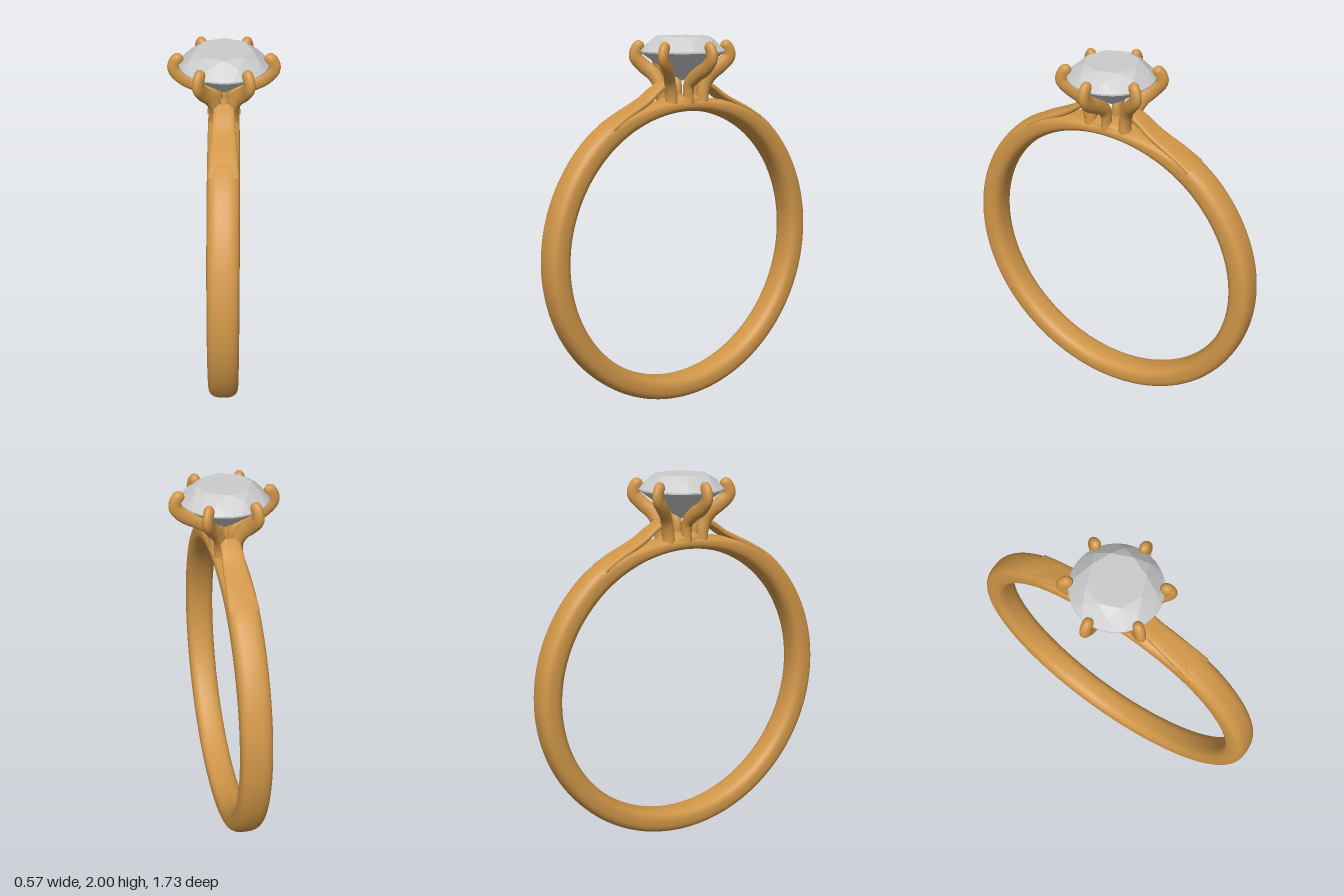
import * as THREE from 'three';
import { ConvexGeometry } from 'three/addons/geometries/ConvexGeometry.js';

const V = (x, y, z) => new THREE.Vector3(x, y, z);
const gold = new THREE.MeshStandardMaterial({ color: 0xd09648 });
const stone = new THREE.MeshStandardMaterial({ color: 0xcccccc, flatShading: true });

// Skins superelliptic rings; each ring has a centre c and half-axes u, v (u x v points along the path).
function loft(rings, power, closed = false, sides = 32) {
  const pos = [], index = [];
  const bend = (s) => Math.sign(s) * Math.abs(s) ** (2 / power);
  for (const { c, u, v } of rings) {
    for (let j = 0; j < sides; j++) {
      const a = (j / sides) * Math.PI * 2;
      const p = c.clone().addScaledVector(u, bend(Math.cos(a))).addScaledVector(v, bend(Math.sin(a)));
      pos.push(p.x, p.y, p.z);
    }
  }
  const n = rings.length;
  for (let i = 0; i < (closed ? n : n - 1); i++) {
    for (let j = 0; j < sides; j++) {
      const k = (j + 1) % sides, m = (i + 1) % n;
      const a = i * sides + j, b = i * sides + k, c = m * sides + j, d = m * sides + k;
      index.push(a, b, c, b, d, c);
    }
  }
  const g = new THREE.BufferGeometry();
  g.setAttribute('position', new THREE.Float32BufferAttribute(pos, 3));
  g.setIndex(index);
  g.computeVertexNormals();
  return g;
}

// Rings along a curve; side is the sideways direction, size(t) gives [half width, half thickness].
function sweep(points, side, size, power, steps = 56) {
  const curve = new THREE.CatmullRomCurve3(points);
  const rings = [];
  for (let i = 0; i <= steps; i++) {
    const t = i / steps, [w, h] = size(t);
    const v = curve.getTangentAt(t).cross(side).normalize();
    rings.push({ c: curve.getPointAt(t), u: side.clone().multiplyScalar(w), v: v.multiplyScalar(h) });
  }
  return loft(rings, power);
}

// Band in the yz plane, thinner under the setting
function bandGeometry() {
  const rings = [], n = 160, inner = 0.738;
  for (let i = 0; i < n; i++) {
    const a = (i / n) * Math.PI * 2;
    const fromTop = Math.min(a, Math.PI * 2 - a);
    const outer = 0.808 + 0.057 * THREE.MathUtils.smoothstep(fromTop, 0.05, 0.75);
    const dir = V(0, Math.cos(a), Math.sin(a));
    rings.push({
      c: dir.clone().multiplyScalar((inner + outer) / 2).add(V(0, 0.867, 0)),
      u: V(-0.08, 0, 0),
      v: dir.multiplyScalar(-(outer - inner) / 2),
    });
  }
  return loft(rings, 2.7, true, 40);
}

// Brilliant-cut stone: octagonal table, crown corners, round girdle, point below
function stoneGeometry() {
  const pts = [V(0, 1.765, 0)];
  const circle = (n, r, y, turn = 0) => {
    for (let i = 0; i < n; i++) {
      const a = ((i + turn) / n) * Math.PI * 2;
      pts.push(V(r * Math.sin(a), y, r * Math.cos(a)));
    }
  };
  circle(8, 0.14, 2.0);
  circle(8, 0.183, 1.971, 0.5);
  circle(32, 0.225, 1.925);
  circle(32, 0.225, 1.917);
  circle(8, 0.07, 1.806, 0.5);
  return new ConvexGeometry(pts);
}

export function createModel() {
  const ring = new THREE.Group();
  ring.name = 'solitaireRing';
  const add = (name, geometry, material = gold) => {
    const mesh = new THREE.Mesh(geometry, material);
    mesh.name = name;
    ring.add(mesh);
    return mesh;
  };

  add('band', bandGeometry());
  add('stone', stoneGeometry(), stone);

  // Six claws: thicker at the foot, rounded at the tip
  const clawSize = (foot) => (t) => {
    const round = t > 0.92 ? Math.sqrt(Math.max(1 - ((t - 0.92) / 0.08) ** 2, 0.0004)) : 1;
    const w = THREE.MathUtils.lerp(foot, 0.026, THREE.MathUtils.smoothstep(t, 0, 0.6));
    const h = 0.03 + 0.008 * Math.sin(Math.PI * t);
    return [w * round, h * round];
  };
  for (const s of [1, -1]) {
    const sideClaw = [
      [0.055, 1.645], [0.05, 1.7], [0.062, 1.755], [0.125, 1.803],
      [0.205, 1.845], [0.248, 1.895], [0.238, 1.94], [0.205, 1.966],
    ].map(([x, y]) => V(s * x, y, 0));
    add('sideClaw', sweep(sideClaw, V(0, 0, 1), clawSize(0.026), 2));

    for (const f of [1, -1]) {
      const cornerClaw = [
        [0.042, 1.645, 0.105], [0.04, 1.7, 0.105], [0.047, 1.755, 0.118], [0.07, 1.803, 0.14],
        [0.102, 1.845, 0.178], [0.124, 1.895, 0.215], [0.119, 1.94, 0.206], [0.103, 1.966, 0.178],
      ].map(([x, y, z]) => V(s * x, y, f * z));
      const across = V(Math.cos(Math.PI / 6) * s, 0, -0.5 * f);
      add('cornerClaw', sweep(cornerClaw, across, clawSize(0.034), 2));
    }

    // Tapering shoulder rising off the band to the foot of the claws
    const shoulder = [
      [1.545, 0.49], [1.598, 0.4], [1.642, 0.31], [1.677, 0.245], [1.72, 0.185], [1.752, 0.13],
    ].map(([y, z]) => V(0, y, s * z));
    const shoulderSize = (t) => [THREE.MathUtils.lerp(0.077, 0.05, t), 0.018];
    add('shoulder', sweep(shoulder, V(1, 0, 0), shoulderSize, 3));
  }

  // Saddle blending the claw feet into the band
  const saddle = add('saddle', new THREE.SphereGeometry(1, 32, 20));
  saddle.scale.set(0.074, 0.035, 0.15);
  saddle.position.set(0, 1.66, 0);

  return ring;
}
